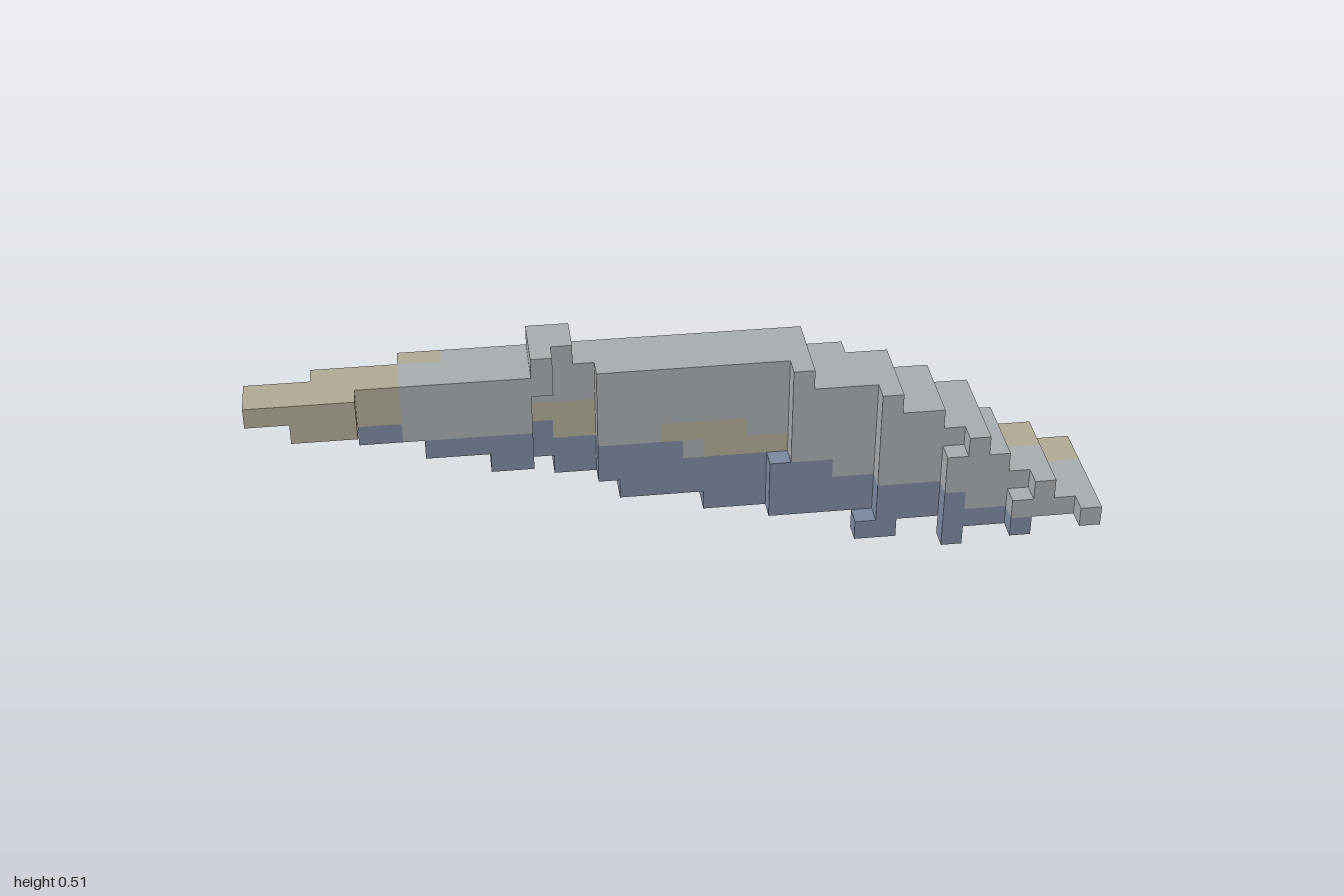
import * as THREE from 'three';
import { mergeGeometries } from 'three/addons/utils/BufferGeometryUtils.js';

const NX = 39, NY = 10, NZ = 8, U = 2 / NX;

// Value of the first step whose end lies beyond i; steps are [end, value]
const step = (i, steps) => steps.find(([end]) => i < end)[1];

// Stepped outline of the curved body, in blocks
const bottom = i => step(i, [[2, 8], [5, 7], [8, 6], [11, 5], [14, 4], [17, 3], [21, 2], [36, 1], [NX, 2]]);
const top = i => step(i, [[13, 9], [15, 10], [26, 9], [30, 8], [32, 7], [34, 6], [35, 5], [37, 4], [NX, 3]]);
const back = (i, j) => step(i, [[3, 2], [j >= 8 ? 7 : 9, 1], [28, 0], [34, 1], [NX, 2]]);
const front = (i, j) => step(i, [[5, 4], [j >= 8 ? 14 : 13, 3], [16, 2], [j >= 4 ? 25 : 24, 3], [29, 4],
  [j >= 5 ? 33 : 32, 5], [j >= 3 ? 36 : 35, 6], [38, 7], [NX, 8]]);

const isBody = (i, j, k) => i >= 0 && i < NX && j >= bottom(i) && j < top(i) && k >= back(i, j) && k < front(i, j);
const isFirstFoot = (i, j, k) => j === 0 && k === 4 && (i === 28 || i === 29);
const isSecondFoot = (i, j, k) => j === 0 && k === 5 && i === 32;

// Blue belly line drops towards the +x end
const belly = i => step(i, [[5, 0], [7, 7], [14, 6], [20, 5], [27, 4], [33, 3], [36, 2], [NX, 0]]);

// Tan patches on the front: row, first column, last column
const patches = [[6, 13, 15], [5, 14, 15], [5, 19, 22], [4, 21, 24]];

function bodyColour(i, j, k, dir) {
  if (j < belly(i)) return 'belly';
  if (i < 7 || (i < 9 && k === 0 && j === 8)) return 'tan';
  if (i >= 34 && k < 4 && j < 4) return 'tan';
  if (dir[2] > 0 && patches.some(([row, a, b]) => j === row && i >= a && i <= b)) return 'tan';
  return 'grey';
}

const DIRS = [[1, 0, 0], [-1, 0, 0], [0, 1, 0], [0, -1, 0], [0, 0, 1], [0, 0, -1]];

// One square face of a block, looking along dir
function face(i, j, k, dir) {
  const g = new THREE.PlaneGeometry(U, U);
  if (dir[0]) g.rotateY(dir[0] * Math.PI / 2);
  else if (dir[1]) g.rotateX(-dir[1] * Math.PI / 2);
  else if (dir[2] < 0) g.rotateY(Math.PI);
  return g.translate(
    -1 + (i + 0.5 + dir[0] / 2) * U,
    (j + 0.5 + dir[1] / 2) * U,
    (k - NZ / 2 + 0.5 + dir[2] / 2) * U
  );
}

// Exposed faces of a block shape, sorted by colour
function skin(inside, colourOf) {
  const sets = {};
  for (let i = 0; i < NX; i++) for (let j = 0; j < NY; j++) for (let k = 0; k < NZ; k++) {
    if (!inside(i, j, k)) continue;
    for (const d of DIRS) {
      if (inside(i + d[0], j + d[1], k + d[2])) continue;
      (sets[colourOf(i, j, k, d)] ??= []).push(face(i, j, k, d));
    }
  }
  return sets;
}

export function createModel() {
  const materials = {
    grey: new THREE.MeshStandardMaterial({ name: 'pale grey', color: 0xa9aeb1 }),
    tan: new THREE.MeshStandardMaterial({ name: 'tan', color: 0xb2ac97 }),
    belly: new THREE.MeshStandardMaterial({ name: 'slate blue', color: 0x7c8ba2 }),
  };
  const model = new THREE.Group();
  model.name = 'steppedBody';

  const addPart = (names, inside, colourOf) => {
    for (const [colour, faces] of Object.entries(skin(inside, colourOf))) {
      const mesh = new THREE.Mesh(mergeGeometries(faces), materials[colour]);
      mesh.name = names[colour];
      model.add(mesh);
    }
  };

  // Body, then the two small feet
  addPart({ grey: 'upperBody', tan: 'tipsAndPatches', belly: 'belly' }, isBody, bodyColour);
  addPart({ belly: 'firstFoot' }, isFirstFoot, () => 'belly');
  addPart({ belly: 'secondFoot' }, isSecondFoot, () => 'belly');
  return model;
}
